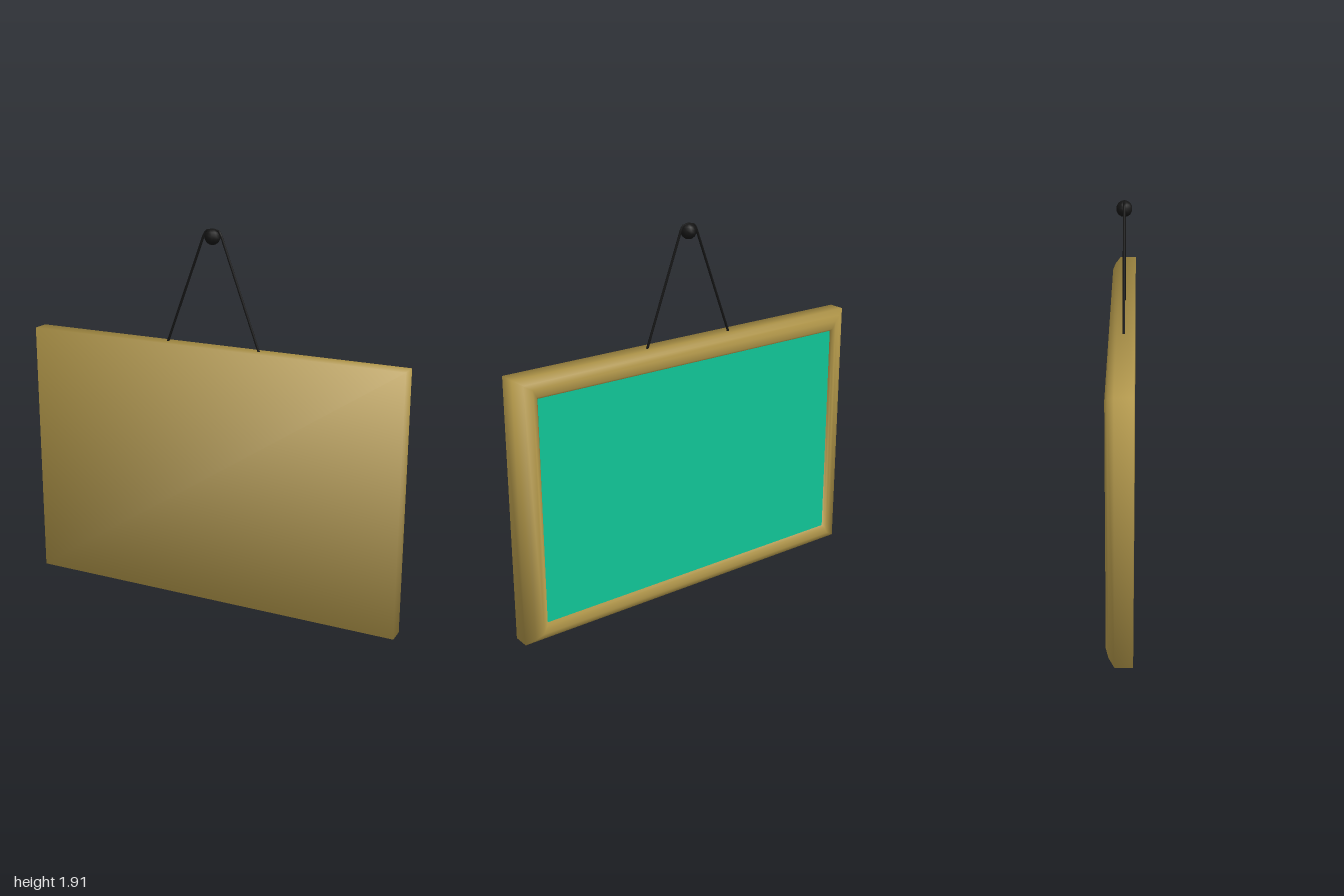
import * as THREE from 'three';

const HALF_W = 1, HALF_H = 0.667, MID_Y = 0.667;

// Rectangular rings from front to back: [x inset, y inset, z, outward normal, z normal]
const RINGS = [
  [0, 0, 0.063, 1, 1],
  [0, 0, -0.022, 1, -0.4],
  [0.04, 0.026, -0.05, 0.6, -1],
  [0.08, 0.05, -0.063, 0.15, -1],
  [0.1, 0.088, -0.062, -0.3, -1],
  [0.11, 0.1, -0.05, -0.8, -1],
];
const CORNERS = [[1, 1], [-1, 1], [-1, -1], [1, -1]]; // counter-clockwise from the front

function frameGeometry() {
  const pos = [], nor = [], index = [];
  for (const [ix, iy, z, out, nz] of RINGS) {
    for (const [sx, sy] of CORNERS) {
      pos.push(sx * (HALF_W - ix), sy * (HALF_H - iy), z);
      nor.push(...new THREE.Vector3(sx * out, sy * out, nz).normalize().toArray());
    }
  }
  // closed front sheet
  index.push(0, 1, 2, 0, 2, 3);
  // sides, rounded back edge and inner lip
  for (let r = 0; r < RINGS.length - 1; r++) {
    for (let c = 0; c < 4; c++) {
      const a = r * 4 + c, b = r * 4 + (c + 1) % 4;
      index.push(a, a + 4, b, b, a + 4, b + 4);
    }
  }
  const geo = new THREE.BufferGeometry();
  geo.setAttribute('position', new THREE.Float32BufferAttribute(pos, 3));
  geo.setAttribute('normal', new THREE.Float32BufferAttribute(nor, 3));
  geo.setIndex(index);
  return geo;
}

export function createModel() {
  const group = new THREE.Group();
  const wood = new THREE.MeshStandardMaterial({ color: 0xb3984a });
  const green = new THREE.MeshStandardMaterial({ color: 0x10c496, side: THREE.DoubleSide });
  const black = new THREE.MeshStandardMaterial({ color: 0x151515 });

  const add = (name, geo, mat, x, y, z) => {
    const mesh = new THREE.Mesh(geo, mat);
    mesh.name = name;
    mesh.position.set(x, y, z);
    group.add(mesh);
    return mesh;
  };

  add('frame', frameGeometry(), wood, 0, MID_Y, 0);

  // Writing panel facing the back, set just inside the lip
  const [ix, iy, z] = RINGS[RINGS.length - 1];
  const panel = new THREE.PlaneGeometry(2 * (HALF_W - ix), 2 * (HALF_H - iy));
  add('boardPanel', panel, green, 0, MID_Y, z).rotation.y = Math.PI;

  // Cord looped over the peg
  const cord = new THREE.CurvePath();
  const points = [
    [-0.25, 1.325], [-0.046, 1.875], [-0.034, 1.896], [0, 1.903],
    [0.034, 1.896], [0.046, 1.875], [0.25, 1.325],
  ].map(([x, y]) => new THREE.Vector3(x, y, 0));
  for (let i = 1; i < points.length; i++) cord.add(new THREE.LineCurve3(points[i - 1], points[i]));
  add('hangingCord', new THREE.TubeGeometry(cord, 120, 0.006, 6), black, 0, 0, 0.01);

  // Peg
  add('peg', new THREE.SphereGeometry(0.039, 10, 7), black, 0, 1.868, 0.01);

  return group;
}
